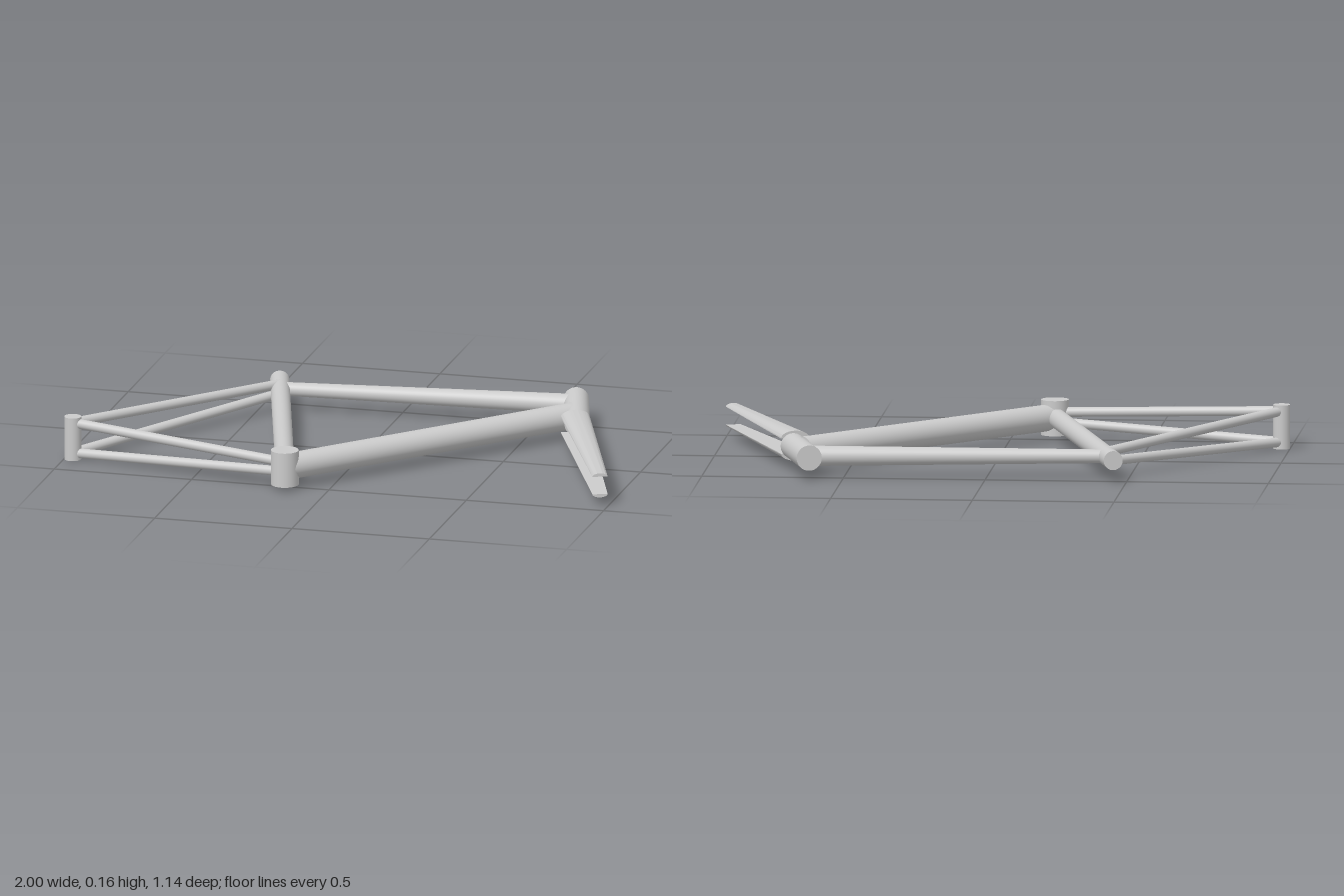
import * as THREE from 'three';
import { toCreasedNormals } from 'three/addons/utils/BufferGeometryUtils.js';

const MID = 0.08; // height of the frame's centre plane
const material = new THREE.MeshStandardMaterial({ color: 0xcccccc });
const at = (x, z, dy = 0) => new THREE.Vector3(x, MID + dy, z);

// Round tube from a to b, with a radius at each end
function tube(name, a, b, ra, rb = ra) {
  const dir = b.clone().sub(a);
  const mesh = new THREE.Mesh(new THREE.CylinderGeometry(rb, ra, dir.length(), 32), material);
  mesh.name = name;
  mesh.position.copy(a).lerp(b, 0.5);
  mesh.quaternion.setFromUnitVectors(new THREE.Vector3(0, 1, 0), dir.normalize());
  return mesh;
}

// Tapered fork blade: flat inside, rounded outside
function forkBlade(name, a, b, side) {
  const dir = b.clone().sub(a);
  const length = dir.length();
  dir.normalize();
  const shape = new THREE.Shape();
  shape.absarc(0, 0, 1, 0, Math.PI, false);
  shape.closePath();
  let geo = new THREE.ExtrudeGeometry(shape, { depth: 1, bevelEnabled: false, curveSegments: 20 });
  const p = geo.attributes.position;
  const mix = THREE.MathUtils.lerp;
  for (let i = 0; i < p.count; i++) {
    const t = p.getZ(i);
    const inner = mix(0.027, 0.032, t);
    const outer = mix(0.053, 0.044, t);
    p.setXYZ(i, p.getX(i) * mix(0.051, 0.027, t), inner + p.getY(i) * (outer - inner), t * length);
  }
  geo.deleteAttribute('normal');
  geo = toCreasedNormals(geo, 0.6);
  const up = new THREE.Vector3(0, side, 0);
  const across = new THREE.Vector3().crossVectors(up, dir);
  const mesh = new THREE.Mesh(geo, material);
  mesh.name = name;
  mesh.quaternion.setFromRotationMatrix(new THREE.Matrix4().makeBasis(across, up, dir));
  mesh.position.copy(a);
  return mesh;
}

export function createModel() {
  const frame = new THREE.Group();
  frame.name = 'bicycleFrame';

  const bracket = [-0.155, 0.52];
  const axle = [-0.97, 0.36];
  const seatJoint = [-0.425, -0.42];

  // Main triangle
  frame.add(
    tube('bottomBracket', at(...bracket, -0.0625), at(...bracket, 0.0625), 0.049),
    tube('seatTube', at(...bracket), at(-0.455, -0.525), 0.034),
    tube('topTube', at(...seatJoint), at(0.63, -0.503), 0.024, 0.036),
    tube('downTube', at(...bracket), at(0.655, -0.36), 0.047),
    tube('headTube', at(0.615, -0.56), at(0.698, -0.265), 0.045)
  );

  // Rear axle and the paired stays that spread towards it
  frame.add(tube('rearAxle', at(...axle, -0.078), at(...axle, 0.078), 0.03));
  for (const side of [1, -1]) {
    const label = side > 0 ? 'Upper' : 'Lower';
    const end = at(...axle, side * 0.055);
    frame.add(
      tube('chainStay' + label, end, at(...bracket, side * 0.017), 0.017),
      tube('seatStay' + label, end, at(...seatJoint, side * 0.017), 0.017),
      forkBlade('forkBlade' + label, at(0.692, -0.26), at(0.975, 0.455), side)
    );
  }
  return frame;
}
